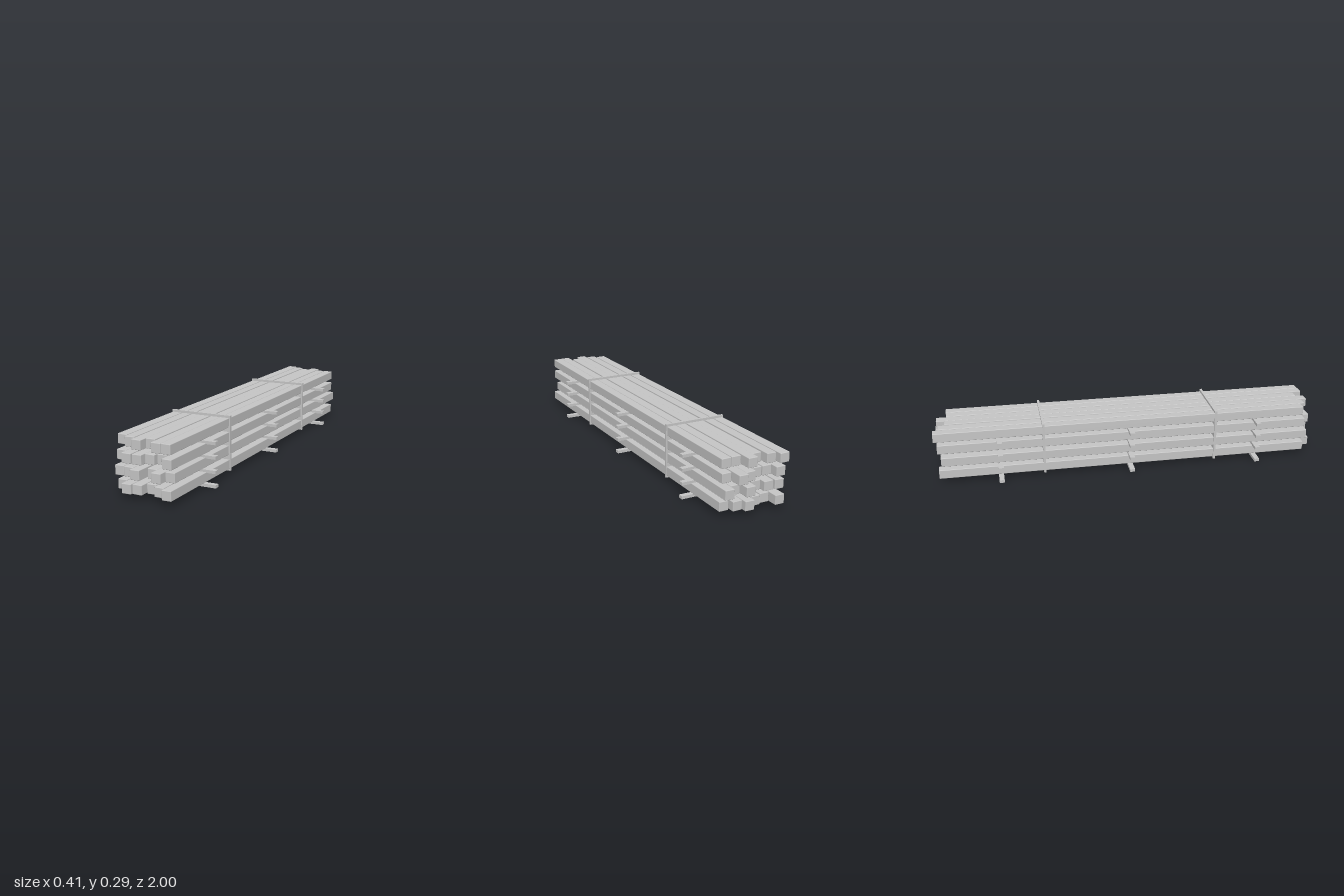
import * as THREE from 'three';
import { RoundedBoxGeometry } from 'three/addons/geometries/RoundedBoxGeometry.js';

const BEAM = { w: 0.048, h: 0.047, length: 1.93 };

// One entry per layer, bottom to top: height, then x and z centres of its six beams
const LAYERS = [
  { y: 0.049, x: [-0.129, -0.078, -0.026, 0.027, 0.078, 0.132], z: [-0.02, 0.03, 0.02, -0.015, 0.01, 0.035] },
  { y: 0.118, x: [-0.133, -0.081, -0.031, 0.028, 0.078, 0.128], z: [-0.005, 0.0, 0.03, -0.02, 0.03, -0.007] },
  { y: 0.186, x: [-0.129, -0.080, -0.026, 0.024, 0.074, 0.129], z: [-0.02, 0.02, 0.02, -0.01, -0.03, 0.025] },
  { y: 0.254, x: [-0.134, -0.080, -0.024, 0.023, 0.079, 0.129], z: [-0.035, -0.01, 0.022, -0.02, 0.03, 0.028] },
];

export function createModel() {
  const model = new THREE.Group();
  model.name = 'timberStack';
  const grey = new THREE.MeshStandardMaterial({ color: 0xc4c4c4 });
  grey.name = 'plainGrey';

  const add = (parent, geometry, name, x, y, z) => {
    const mesh = new THREE.Mesh(geometry, grey);
    mesh.name = name;
    mesh.position.set(x, y, z);
    parent.add(mesh);
    return mesh;
  };

  const beamGeometry = new RoundedBoxGeometry(BEAM.w, BEAM.h, BEAM.length, 2, 0.003);
  const spacerGeometry = new THREE.BoxGeometry(0.408, 0.015, 0.026);
  const strapGeometry = new THREE.BoxGeometry(0.32, 0.273, 0.012);

  LAYERS.forEach((layer, row) => {
    const group = new THREE.Group();
    group.name = `layer${row + 1}`;
    model.add(group);

    // Six long beams, each very slightly askew
    layer.x.forEach((x, i) => {
      const beam = add(group, beamGeometry, 'beam', x, layer.y, layer.z[i]);
      beam.rotation.y = 0.0012 * Math.sin(row * 2.3 + i * 1.9);
      beam.rotation.z = 0.02 * Math.sin(row * 1.7 + i * 2.6);
    });

    // Three cross battens under each layer
    for (const z of [-0.674, 0, 0.674]) {
      add(group, spacerGeometry, 'spacer', 0, 0.0085 + row * 0.0683, z);
    }
  });

  // Two binding bands, filling the gaps across the stack
  for (const z of [-0.45, 0.45]) add(model, strapGeometry, 'strap', 0, 0.1525, z);

  return model;
}
